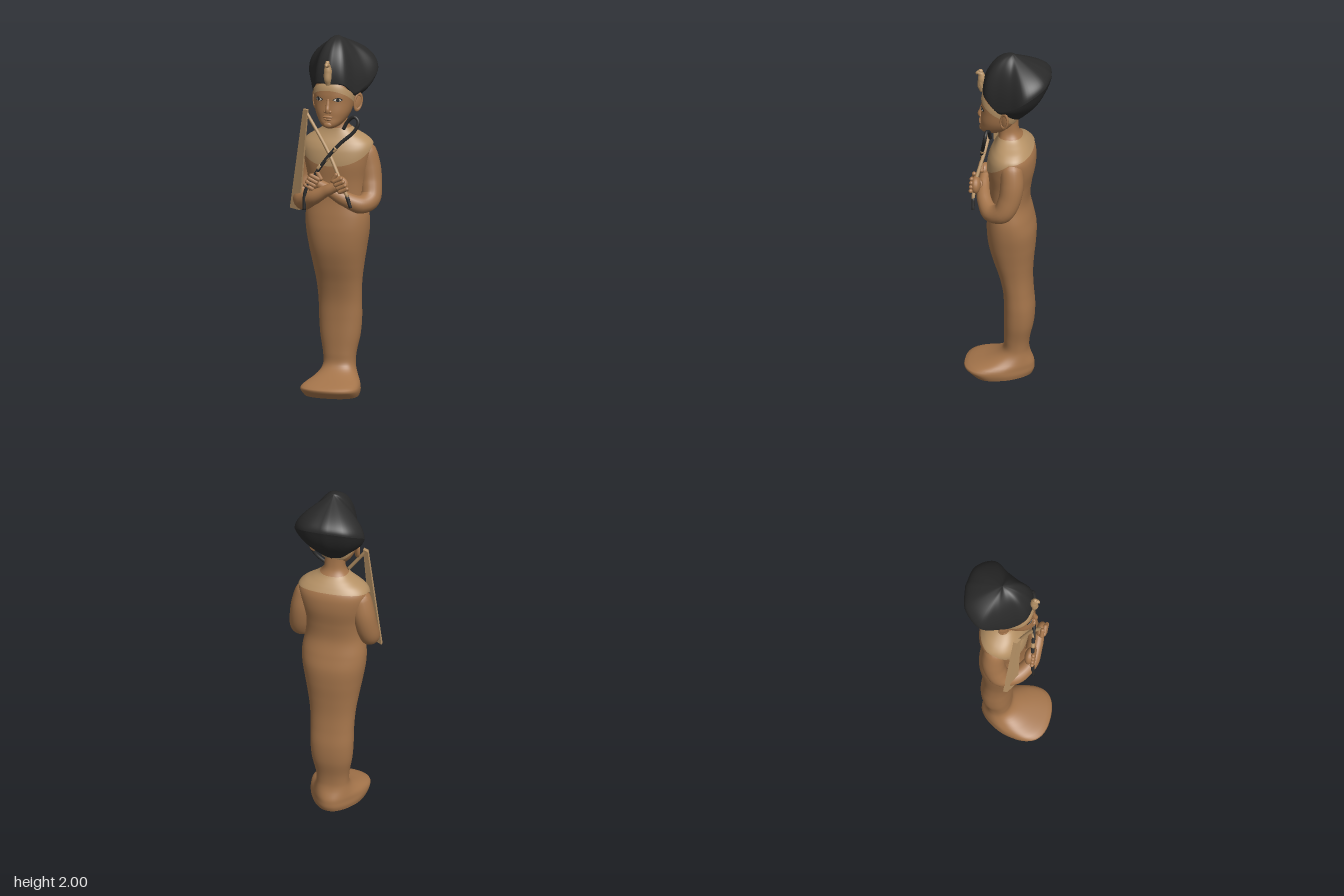
import * as THREE from 'three';
import { mergeVertices } from 'three/addons/utils/BufferGeometryUtils.js';

const V = (x, y, z) => new THREE.Vector3(x, y, z);

// Flat colours
const mat = (name, color, side = THREE.FrontSide) => {
  const m = new THREE.MeshStandardMaterial({ side });
  m.color.set(color);
  m.name = name;
  return m;
};

// Surface over a u,v grid; outward when u x v points out
function grid(nu, nv, f) {
  const pos = [], idx = [];
  for (let j = 0; j <= nv; j++)
    for (let i = 0; i <= nu; i++) pos.push(...f(i / nu, j / nv).toArray());
  for (let j = 0; j < nv; j++)
    for (let i = 0; i < nu; i++) {
      const a = j * (nu + 1) + i, d = a + nu + 1;
      idx.push(a, a + 1, d, a + 1, d + 1, d);
    }
  let g = new THREE.BufferGeometry();
  g.setAttribute('position', new THREE.Float32BufferAttribute(pos, 3));
  g.setIndex(idx);
  g = mergeVertices(g, 1e-5);
  g.computeVertexNormals();
  return g;
}

// Cross-section rows: height, half width, front z, back z, front widening
const BODY = [
  [0.005, 0.14, 0.19, -0.135, 0.35], [0.03, 0.15, 0.22, -0.145, 0.35], [0.055, 0.152, 0.24, -0.145, 0.35],
  [0.075, 0.14, 0.195, -0.143, 0.3], [0.095, 0.12, 0.125, -0.135, 0.2], [0.125, 0.1, 0.06, -0.122, 0.05],
  [0.16, 0.09, 0.025, -0.115, 0], [0.22, 0.093, 0.02, -0.12, 0], [0.32, 0.112, 0.02, -0.142, 0],
  [0.42, 0.12, 0.02, -0.148, 0], [0.52, 0.121, 0.026, -0.14, 0], [0.62, 0.127, 0.048, -0.136, 0],
  [0.72, 0.142, 0.08, -0.142, 0], [0.82, 0.16, 0.106, -0.152, 0], [0.92, 0.176, 0.115, -0.155, 0],
  [1.0, 0.178, 0.11, -0.14, 0], [1.1, 0.162, 0.098, -0.12, 0], [1.2, 0.165, 0.1, -0.13, 0],
  [1.3, 0.185, 0.108, -0.15, 0], [1.37, 0.196, 0.1, -0.152, 0], [1.41, 0.188, 0.085, -0.142, 0],
  [1.44, 0.158, 0.068, -0.123, 0], [1.465, 0.115, 0.057, -0.103, 0], [1.49, 0.078, 0.05, -0.08, 0],
  [1.52, 0.06, 0.048, -0.062, 0], [1.56, 0.056, 0.048, -0.056, 0], [1.62, 0.058, 0.048, -0.056, 0],
];
const HEAD = [
  [1.505, 0.015, 0.125, 0.07, 0], [1.515, 0.04, 0.146, 0.03, 0], [1.535, 0.062, 0.154, 0, 0],
  [1.565, 0.083, 0.151, -0.03, 0], [1.6, 0.098, 0.15, -0.052, 0], [1.65, 0.107, 0.145, -0.066, 0],
  [1.7, 0.109, 0.145, -0.07, 0], [1.75, 0.1, 0.136, -0.07, 0], [1.79, 0.08, 0.105, -0.06, 0], [1.82, 0.02, 0.05, -0.02, 0],
];

// Smooth interpolation between rows
function section(rows, y) {
  const n = rows.length - 1;
  let i = 0;
  while (i < n - 1 && y > rows[i + 1][0]) i++;
  const h = rows[i + 1][0] - rows[i][0], t = THREE.MathUtils.clamp((y - rows[i][0]) / h, 0, 1);
  const slope = (k, c) => {
    const a = rows[Math.max(k - 1, 0)], b = rows[Math.min(k + 1, n)];
    return (b[c] - a[c]) / (b[0] - a[0]);
  };
  return [1, 2, 3, 4].map((c) =>
    (2 * t ** 3 - 3 * t * t + 1) * rows[i][c] + (t ** 3 - 2 * t * t + t) * h * slope(i, c) +
    (3 * t * t - 2 * t ** 3) * rows[i + 1][c] + (t ** 3 - t * t) * h * slope(i + 1, c));
}
function onSection(rows, y, a, off = 0) {
  const [w, f, b, k] = section(rows, y);
  const p = (v) => Math.sign(v) * Math.abs(v) ** 0.88;
  return V((w + off) * p(Math.sin(a)) * (1 + k * Math.cos(a)), y, (f + b) / 2 + ((f - b) / 2 + off) * p(Math.cos(a)));
}
// Patch of a lofted form between two height rules and two angles
const patch = (rows, lo, hi, off = 0, a0 = 0, a1 = Math.PI * 2, nu = 64, nv = 24) =>
  grid(nu, nv, (u, v) => {
    const a = a0 + (a1 - a0) * u;
    return onSection(rows, THREE.MathUtils.lerp(lo(a, u), hi(a, u), v), a, off);
  });

// Round limb through [x, y, z, radius] points
function limb(pts, nv = 40, nu = 20) {
  const curve = new THREE.CatmullRomCurve3(pts.map((p) => V(p[0], p[1], p[2])));
  const fr = curve.computeFrenetFrames(nv, false), n = pts.length - 1;
  return grid(nu, nv + 2, (u, v) => {
    const j = Math.round(v * (nv + 2)), k = THREE.MathUtils.clamp(j - 1, 0, nv);
    const t = curve.getUtoTmapping(k / nv) * n, i = Math.min(Math.floor(t), n - 1);
    const r = j === 0 || j === nv + 2 ? 0 : THREE.MathUtils.lerp(pts[i][3], pts[i + 1][3], THREE.MathUtils.smoothstep(t - i, 0, 1));
    const a = u * Math.PI * 2;
    return curve.getPointAt(k / nv).addScaledVector(fr.normals[k], r * Math.cos(a)).addScaledVector(fr.binormals[k], r * Math.sin(a));
  });
}

export function createModel() {
  const model = new THREE.Group();
  const skin = mat('brown wood', 0xa5754b), tan = mat('pale wood', 0xb59165, THREE.DoubleSide);
  const black = mat('black', 0x2a2a2a, THREE.DoubleSide), white = mat('eye white', 0xd6cfc0, THREE.DoubleSide);
  const add = (name, geo, m, parent = model) => {
    const mesh = new THREE.Mesh(geo, m);
    mesh.name = name;
    parent.add(mesh);
    return mesh;
  };
  const ball = (name, m, p, s, parent) => {
    const b = add(name, new THREE.SphereGeometry(1, 20, 14), m, parent);
    b.position.set(...p);
    b.scale.set(...s);
    return b;
  };

  // Wrapped body with feet, and collar
  add('body', patch(BODY, () => 0.005, () => 1.62, 0, 0, Math.PI * 2, 64, 150), skin);
  add('sole', grid(64, 1, (u, v) => onSection(BODY, 0.005, u * Math.PI * 2).sub(V(0, 0, 0.03)).multiplyScalar(v).setY(0).add(V(0, 0.005, 0.03 * v + 0.03 * (1 - v)))), skin);
  add('collar', patch(BODY, (a) => { const c = Math.cos(a); return 1.4 - (c > 0 ? 0.11 : 0.02) * c; }, () => 1.495, 0.006), tan);

  // Head, headband, face
  add('head', patch(HEAD, () => 1.505, () => 1.82, 0, 0, Math.PI * 2, 64, 50), skin);
  add('headband', patch(HEAD, (a) => 1.65 + 0.07 * Math.cos(a), (a) => 1.69 + 0.07 * Math.cos(a), 0.004), tan);
  add('nose', limb([[0, 1.675, 0.141, 0.007], [0, 1.64, 0.147, 0.011], [0, 1.612, 0.155, 0.014], [0, 1.603, 0.151, 0.014]], 12), skin);
  ball('upperLip', skin, [0, 1.575, 0.15], [0.03, 0.008, 0.011]);
  ball('lowerLip', skin, [0, 1.562, 0.15], [0.024, 0.008, 0.011]);
  ball('chin', skin, [0, 1.53, 0.145], [0.025, 0.018, 0.014]);
  for (const s of [-1, 1]) {
    ball('nostril', skin, [s * 0.014, 1.604, 0.148], [0.01, 0.009, 0.01]);
    const face = (name, m, a0, a1, y, h, off) => {
      const mid = (u) => (s > 0 ? u : 1 - u);
      const arc = (u) => h * Math.sin(Math.PI * mid(u)) ** 0.7;
      add(name, patch(HEAD, (a, u) => y - arc(u) * 0.8, (a, u) => y + arc(u), off, s > 0 ? a0 : -a1, s > 0 ? a1 : -a0, 12, 3), m);
    };
    face('eyeOutline', black, 0.21, 0.74, 1.67, 0.012, 0.002);
    face('eyeWhite', white, 0.25, 0.66, 1.67, 0.009, 0.004);
    face('iris', black, 0.36, 0.55, 1.67, 0.009, 0.006);
    face('eyebrow', skin, 0.18, 0.78, 1.695, 0.005, 0.004);
    // Ear with raised rim
    const ear = new THREE.Group();
    ear.name = 'ear';
    ear.position.set(s * 0.122, 1.64, 0.002);
    ear.rotation.set(0, s * 0.95, -s * 0.2);
    ball('earShell', skin, [0, 0, 0], [0.028, 0.05, 0.01], ear);
    const rim = add('earRim', new THREE.TorusGeometry(0.024, 0.006, 10, 28), skin, ear);
    rim.scale.set(1, 1.8, 1);
    rim.position.z = 0.005;
    model.add(ear);
  }

  // Tall crown: flared lower wall up to a swept ridge, then a dome
  const rim = new THREE.CatmullRomCurve3([V(0, 1.755, 0.14), V(0.075, 1.75, 0.117), V(0.112, 1.685, 0.045), V(0.112, 1.67, 0),
    V(0.095, 1.645, -0.035), V(0.055, 1.62, -0.066), V(0, 1.613, -0.078)]);
  const ridge = new THREE.CatmullRomCurve3([V(0, 1.765, 0.142), V(0.078, 1.757, 0.12), V(0.122, 1.7, 0.045), V(0.16, 1.73, -0.03),
    V(0.198, 1.8, -0.12), V(0.125, 1.855, -0.215), V(0, 1.87, -0.242)]);
  const both = (curve, u) => {
    const p = curve.getPoint(1 - Math.abs(1 - 2 * u));
    if (u > 0.5) p.x *= -1;
    return p;
  };
  add('crownWall', grid(72, 14, (u, v) => {
    const a = both(rim, u), b = both(ridge, u), out = V(b.x, 0, b.z + 0.03).normalize();
    const bulge = 0.1 * a.distanceTo(b) * Math.sin(Math.PI * v);
    return a.lerp(b, v).addScaledVector(out, bulge);
  }), black);
  add('crownDome', grid(72, 28, (u, v) => {
    const b = both(ridge, u), a = v * Math.PI / 2, s = 1 - Math.abs(1 - 2 * u);
    const k = v === 1 ? 0 : Math.cos(a) ** (1 + 1.5 * THREE.MathUtils.smoothstep(s, 0.3, 0.85));
    return V(b.x * k, b.y + (2 - b.y) * Math.sin(a), -0.03 + (b.z + 0.03) * k);
  }), black);

  // Rearing cobra on the brow
  add('cobraBody', limb([[0, 1.755, 0.143, 0.014], [0, 1.79, 0.15, 0.02], [0, 1.83, 0.145, 0.022], [0, 1.862, 0.15, 0.016], [0, 1.868, 0.165, 0.013], [0, 1.862, 0.178, 0.006]], 24), tan);
  ball('cobraHood', tan, [0, 1.805, 0.148], [0.023, 0.045, 0.014]);
  ball('cobraCrest', tan, [0, 1.878, 0.152], [0.012, 0.012, 0.013]);

  // Crossed arms and fists; the right arm lies in front
  for (const s of [-1, 1]) {
    const d = s < 0 ? 0.028 : 0;
    add('arm', limb([[0.125, 1.39, -0.035, 0.045], [0.152, 1.35, -0.04, 0.063], [0.172, 1.27, -0.045, 0.065], [0.187, 1.18, -0.032, 0.062],
      [0.195, 1.105, 0.003, 0.058], [0.165, 1.08, 0.07 + d / 3, 0.05], [0.09, 1.115, 0.117 + d, 0.042],
      [0, 1.165, 0.135 + d, 0.032], [-0.06, 1.195, 0.135 + d, 0.028]].map((p) => [p[0] * s, ...p.slice(1)]), 60), skin);
    const fist = new THREE.Group();
    fist.name = 'fist';
    fist.position.set(-s * 0.082, 1.205, 0.14 + d);
    fist.rotation.z = -s * 0.55;
    ball('palm', skin, [0, 0, 0], [0.045, 0.05, 0.028], fist);
    for (let i = 0; i < 4; i++) {
      const f = add('finger', new THREE.CapsuleGeometry(0.012, 0.045, 5, 10), skin, fist);
      f.position.set(-s * 0.006, (i - 1.6) * 0.022, 0.022);
      f.rotation.z = Math.PI / 2 + s * 0.12;
    }
    const thumb = add('thumb', new THREE.CapsuleGeometry(0.012, 0.04, 5, 10), skin, fist);
    thumb.position.set(s * 0.008, 0.05, 0.012);
    thumb.rotation.z = 1.1 * s;
    model.add(fist);
  }

  // Dark crook with hooked end and pale bands
  const crook = [[0.07, 1.5, 0.09], [0.1, 1.55, 0.09], [0.14, 1.575, 0.1], [0.163, 1.55, 0.105], [0.145, 1.5, 0.115], [0.07, 1.43, 0.13],
    [0, 1.35, 0.145], [-0.08, 1.235, 0.155], [-0.122, 1.16, 0.165], [-0.13, 1.05, 0.17]];
  add('crook', limb(crook.map((p) => [...p, 0.01]), 70, 12), black);
  for (let i = 0; i < 3; i++) {
    const at = (t) => [0.045 - 0.07 * t, 1.402 - 0.084 * t, 0.135 + 0.012 * t, 0.0115];
    add('crookBand', limb([at(i * 0.6), at(i * 0.6 + 0.25)], 4, 12), tan);
  }

  // Pale flail: handle, dark tip and hanging strands
  add('flailHandle', limb([[-0.15, 1.585, 0.085, 0.009], [0, 1.37, 0.13, 0.01], [0.085, 1.22, 0.17, 0.01], [0.125, 1.14, 0.177, 0.01]], 30, 12), tan);
  add('flailTip', limb([[0.122, 1.145, 0.176, 0.011], [0.142, 1.08, 0.175, 0.009]], 4, 12), black);
  const strands = new THREE.BoxGeometry(1, 1, 0.022, 3, 1, 1), sp = strands.attributes.position;
  for (let i = 0; i < sp.count; i++) {
    const t = 0.5 - sp.getY(i), w = sp.getX(i);
    sp.setXYZ(i, -0.15 - 0.07 * t + w * (0.03 + 0.04 * t), 1.595 - 0.565 * t, 0.085 - 0.022 * t + w * (0.015 + 0.03 * t) + sp.getZ(i));
  }
  strands.computeVertexNormals();
  add('flailStrands', strands, tan);
  return model;
}
